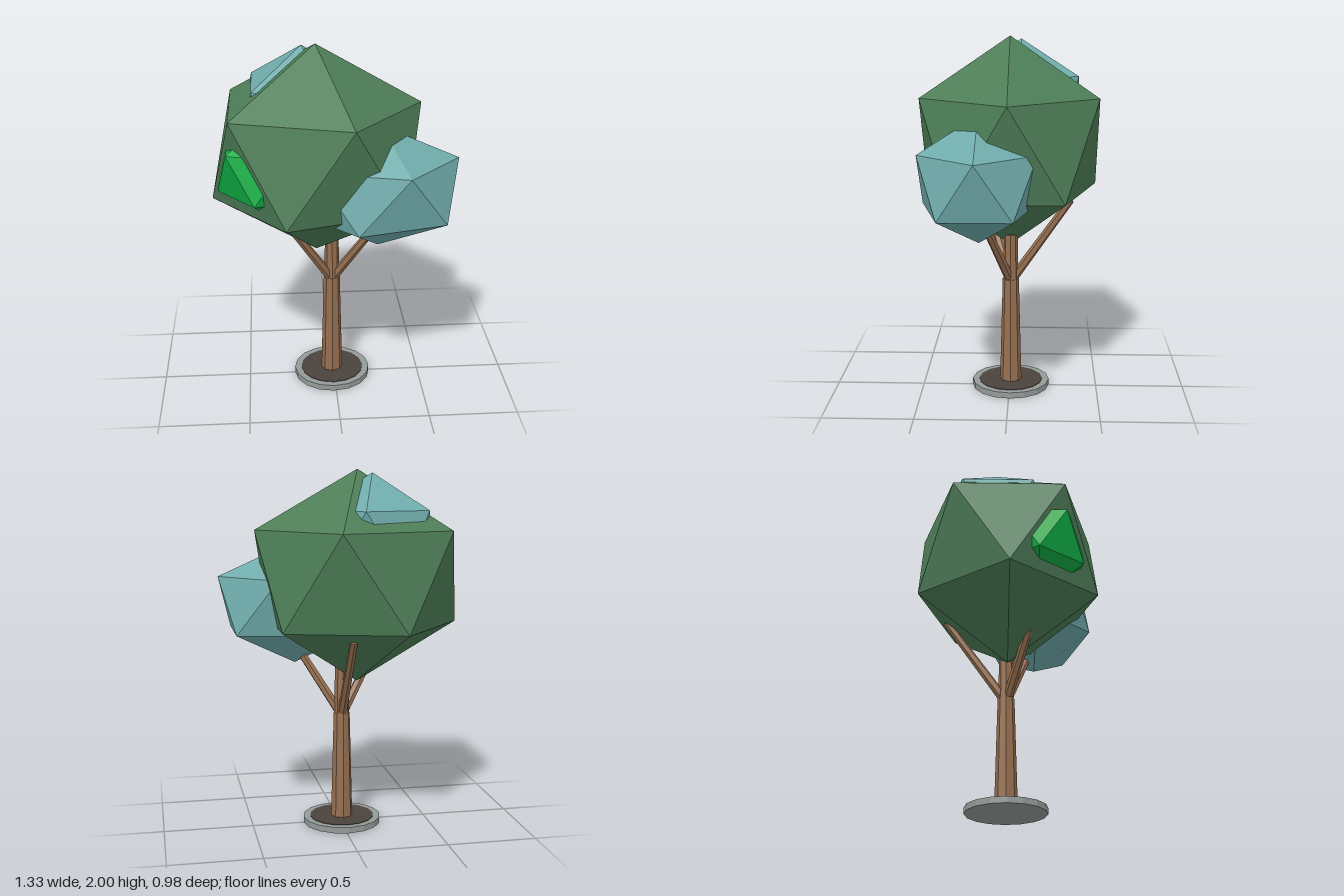
import * as THREE from 'three';
import { ConvexGeometry } from 'three/addons/geometries/ConvexGeometry.js';

const material = (name, color) => {
  const m = new THREE.MeshStandardMaterial({ color });
  m.name = name;
  return m;
};

// Unsmoothed facets for low-poly parts
function faceted(geometry) {
  const g = geometry.toNonIndexed();
  g.computeVertexNormals();
  return g;
}

function part(parent, name, geometry, mat) {
  const mesh = new THREE.Mesh(geometry, mat);
  mesh.name = name;
  parent.add(mesh);
  return mesh;
}

// Tapered faceted limb between two points
function limb(parent, name, a, b, rA, rB, sides, mat) {
  const dir = b.clone().sub(a);
  const mesh = part(parent, name, faceted(new THREE.CylinderGeometry(rB, rA, dir.length(), sides)), mat);
  mesh.position.copy(a).add(b).multiplyScalar(0.5);
  mesh.quaternion.setFromUnitVectors(new THREE.Vector3(0, 1, 0), dir.normalize());
  return mesh;
}

// Upright icosahedron: two poles and two staggered rings of five,
// ring radii rx and rz, pole height ry
function foliage(parent, name, [x, y, z], rx, ry, rz, mat) {
  const points = [new THREE.Vector3(0, ry, 0), new THREE.Vector3(0, -ry, 0)];
  for (let i = 0; i < 10; i++) {
    const a = (i * Math.PI) / 5;
    const h = (i % 2 ? -ry : ry) / Math.sqrt(5);
    points.push(new THREE.Vector3(Math.cos(a) * rx, h, Math.sin(a) * rz));
  }
  part(parent, name, new ConvexGeometry(points), mat).position.set(x, y, z);
}

export function createModel() {
  const model = new THREE.Group();
  model.name = 'tree';
  const bark = material('bark brown', 0x966f50);
  const stone = material('stone grey', 0x939c98);
  const soil = material('soil brown', 0x4a423d);
  const leaf = material('leaf green', 0x4d7d57);
  const teal = material('teal leaf', 0x70abab);
  const bright = material('bright leaf green', 0x0fae44);
  const V = (x, y, z) => new THREE.Vector3(x, y, z);

  const stand = new THREE.Group();
  stand.name = 'trunkAndBase';
  stand.position.set(-0.012, 0, -0.006);
  model.add(stand);

  // Stone base with a soil disc on top
  limb(stand, 'stoneBase', V(0, 0, 0), V(0, 0.034, 0), 0.22, 0.22, 16, stone);
  limb(stand, 'soil', V(0, 0.032, 0), V(0, 0.037, 0), 0.182, 0.182, 16, soil);

  // Trunk in two tapering lengths
  limb(stand, 'trunk', V(0, 0.03, 0), V(0, 0.64, 0), 0.062, 0.046, 8, bark);
  limb(stand, 'upperTrunk', V(0, 0.64, 0), V(0, 0.9, 0), 0.042, 0.039, 8, bark);

  // Three branches spaced evenly around the trunk
  for (let i = 0; i < 3; i++) {
    const a = Math.PI / 6 + (i * Math.PI * 2) / 3;
    const c = Math.cos(a), s = Math.sin(a);
    limb(stand, 'branch', V(c * 0.015, 0.645, s * 0.015), V(c * 0.335, 1.1, s * 0.335), 0.027, 0.021, 6, bark);
  }

  // Crown
  foliage(model, 'mainCrown', [-0.1, 1.41, 0], 0.57, 0.59, 0.515, leaf);
  foliage(model, 'sideCrown', [0.23, 1.255, 0.16], 0.43, 0.346, 0.332, teal);
  foliage(model, 'topCrown', [-0.17, 1.62, -0.06], 0.334, 0.36, 0.335, teal);
  foliage(model, 'smallCrown', [-0.35, 1.375, 0.155], 0.282, 0.28, 0.26, bright);

  return model;
}
